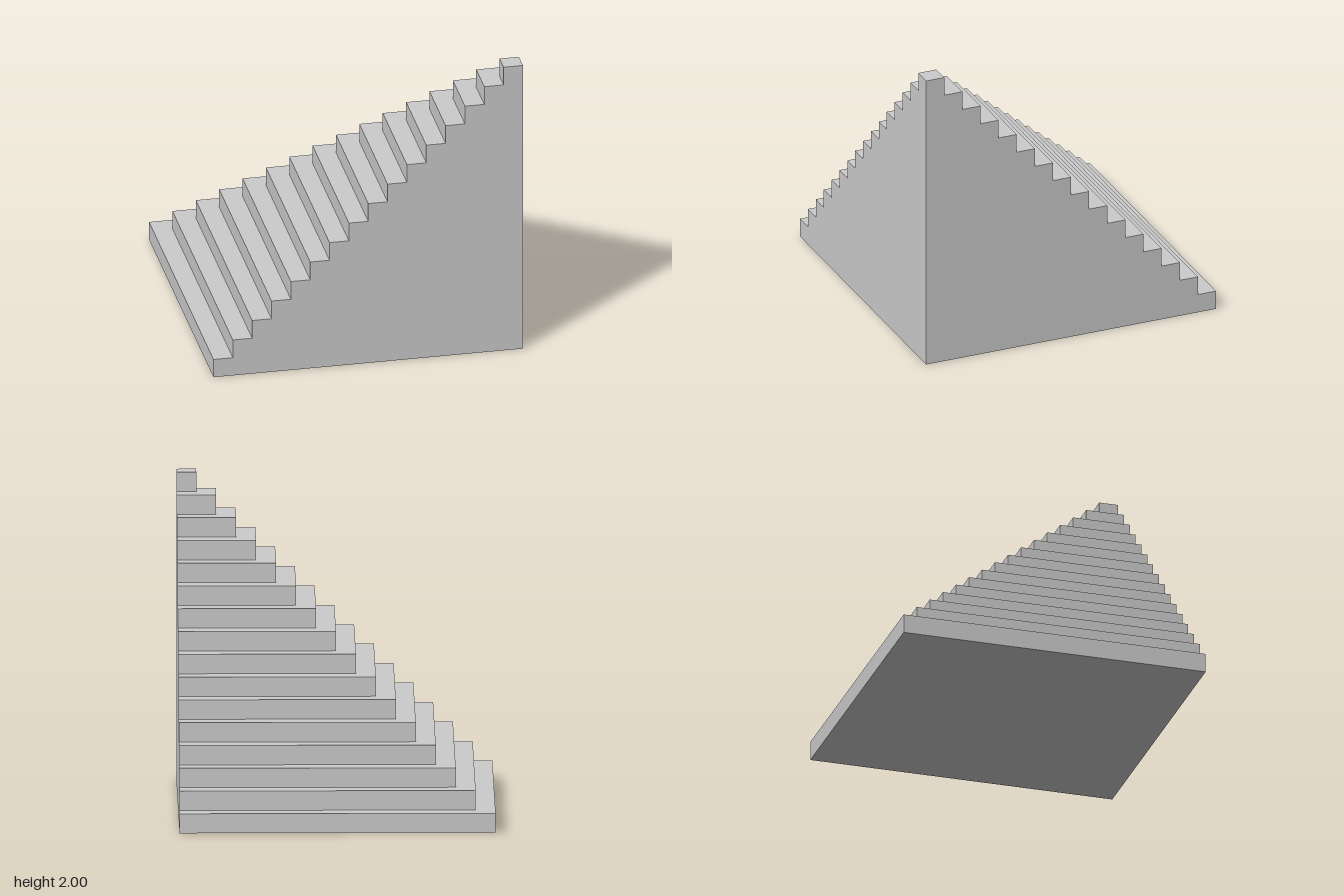
import * as THREE from 'three';

const STEPS = 16;
const SIZE = 2;
const RISE = SIZE / STEPS;

export function createModel() {
  const group = new THREE.Group();
  group.name = 'corner stepped pyramid';
  const material = new THREE.MeshStandardMaterial({ color: 0xcccccc, flatShading: true });

  // Square slabs, each one step smaller, all flush with the +x +z corner
  for (let i = 0; i < STEPS; i++) {
    const width = SIZE - i * RISE;
    const slab = new THREE.Mesh(new THREE.BoxGeometry(width, RISE, width), material);
    const centre = (SIZE - width) / 2;
    slab.position.set(centre, (i + 0.5) * RISE, centre);
    slab.name = `step${i + 1}`;
    group.add(slab);
  }
  return group;
}
